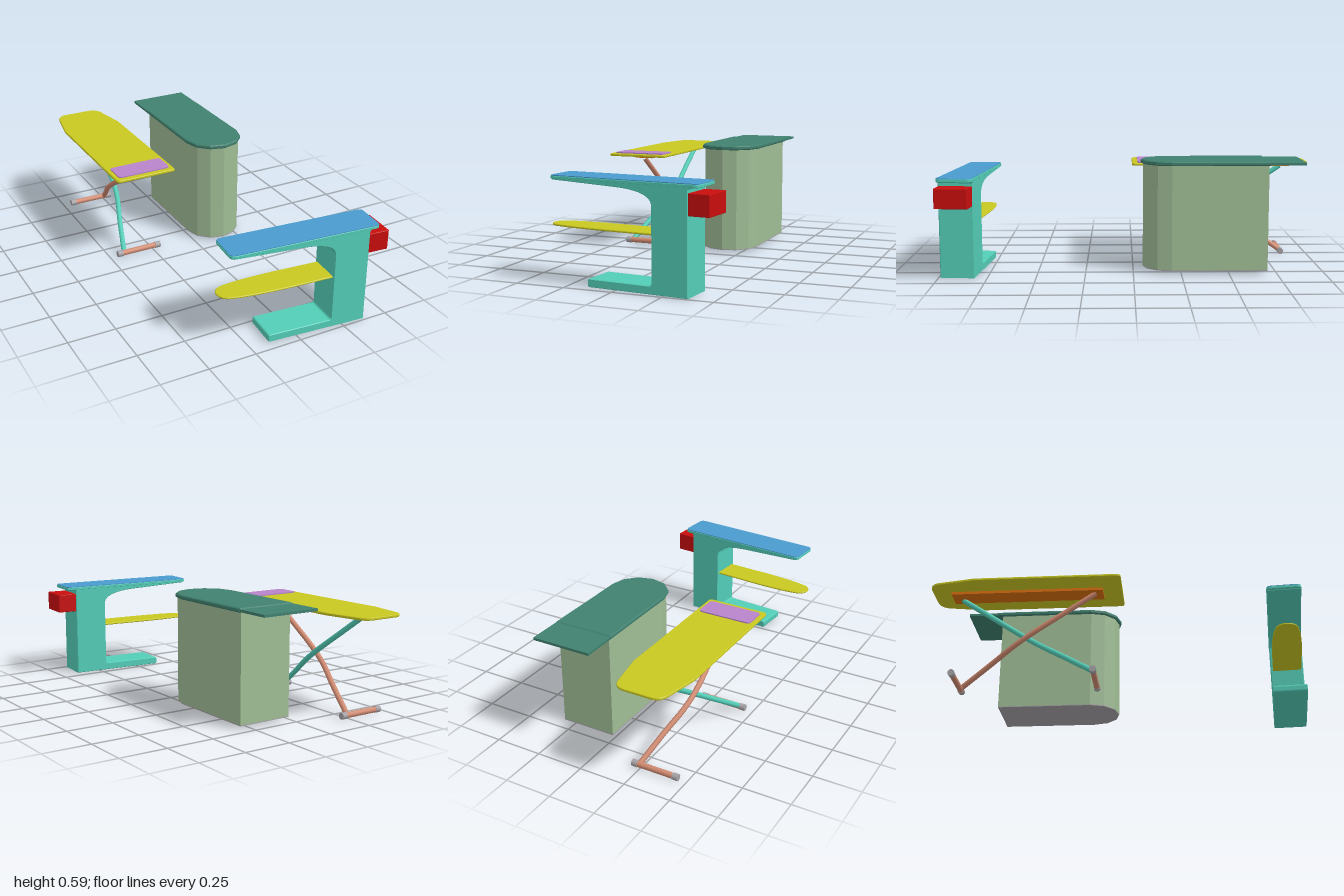
import * as THREE from 'three';

const mat = (name, color) => Object.assign(new THREE.MeshStandardMaterial({ color }), { name });
const teal = mat('teal', 0x53cdb7), blue = mat('blue', 0x4a9bcd), red = mat('red', 0xc90d0d);
const yellow = mat('yellow', 0xc9c821), purple = mat('lilac', 0xb884cb), copper = mat('copper', 0xd08a70);
const grey = mat('grey', 0xa6a2a6), sage = mat('sage', 0x9fbd95), green = mat('deepGreen', 0x41816f);
const orange = mat('orange', 0xd8700c);

function add(parent, name, geometry, material, x = 0, y = 0, z = 0) {
  const mesh = new THREE.Mesh(geometry, material);
  mesh.name = name;
  mesh.position.set(x, y, z);
  parent.add(mesh);
  return mesh;
}

function group(parent, name) {
  const g = new THREE.Group();
  g.name = name;
  parent.add(g);
  return g;
}

// Plan outline drawn as (x, -z), raised from y0 to y1 with an optional small bevel
function slab(shape, y0, y1, bevel = 0) {
  const geo = new THREE.ExtrudeGeometry(shape, {
    depth: y1 - y0 - 2 * bevel, bevelEnabled: bevel > 0, bevelSize: bevel,
    bevelThickness: bevel, bevelOffset: -bevel, bevelSegments: 1, curveSegments: 6,
  });
  return geo.rotateX(-Math.PI / 2).translate(0, y0 + bevel, 0);
}

function roundRect(x0, x1, z0, z1, r) {
  const s = new THREE.Shape(), a = -z1, b = -z0;
  s.moveTo(x0 + r, a).lineTo(x1 - r, a).quadraticCurveTo(x1, a, x1, a + r);
  s.lineTo(x1, b - r).quadraticCurveTo(x1, b, x1 - r, b);
  s.lineTo(x0 + r, b).quadraticCurveTo(x0, b, x0, b - r);
  s.lineTo(x0, a + r).quadraticCurveTo(x0, a, x0 + r, a);
  return s;
}

function buildIroningBoard(root) {
  const g = group(root, 'ironingBoard');
  const cx = -0.333, w = 0.167;

  // Tapered board top
  const s = new THREE.Shape();
  s.moveTo(cx - w + 0.02, 0).lineTo(cx + w - 0.02, 0).quadraticCurveTo(cx + w, 0, cx + w, 0.02);
  s.lineTo(cx + w, 0.76).lineTo(cx + 0.132, 0.95).quadraticCurveTo(cx + 0.12, 1, cx + 0.07, 1);
  s.lineTo(cx - 0.07, 1).quadraticCurveTo(cx - 0.12, 1, cx - 0.132, 0.95);
  s.lineTo(cx - w, 0.76).lineTo(cx - w, 0.02).quadraticCurveTo(cx - w, 0, cx - w + 0.02, 0);
  add(g, 'boardTop', slab(s, 0.516, 0.53, 0.003), yellow);
  add(g, 'ironRest', slab(roundRect(-0.477, -0.187, -0.16, -0.03, 0.02), 0.529, 0.536), purple);
  add(g, 'undersideRail', new THREE.BoxGeometry(0.105, 0.016, 0.8), orange, cx, 0.509, -0.5);

  // Crossed legs, bending sideways toward their feet
  const leg = (name, material, side, zFoot, zTop) => {
    const profile = [[0.016, 0.5], [0.016, 0.4], [0.016, 0.28], [0.002, 0.215], [-0.04, 0.13], [-0.087, 0.025]];
    const pts = profile.map(([dx, y]) => new THREE.Vector3(
      cx + side * dx, y, zFoot + (zTop - zFoot) * (y - 0.02) / 0.48));
    add(g, name, new THREE.TubeGeometry(new THREE.CatmullRomCurve3(pts), 28, 0.014, 10), material);

    const foot = group(g, name + 'Foot');
    const bar = (n, r, len, m, x) =>
      add(foot, n, new THREE.CylinderGeometry(r, r, len, 14).rotateZ(Math.PI / 2), m, x, 0.018, zFoot);
    bar('footBar', 0.015, 0.2, copper, cx);
    for (const k of [-1, 1]) bar('footCap', 0.0175, 0.03, grey, cx + k * 0.113);
  };
  leg('frontLeg', teal, 1, -0.14, -0.85);
  leg('rearLeg', copper, -1, -0.85, -0.14);
}

function buildCabinet(root) {
  const g = group(root, 'cabinet');
  const cx = 0.157, cz = -0.2;

  // Straight back, six-sided rounded front
  const outline = (r, back) => {
    const s = new THREE.Shape();
    s.moveTo(cx - r, -back);
    for (let i = 0; i <= 6; i++) {
      const a = Math.PI * (1 + i / 6);
      s.lineTo(cx + r * Math.cos(a), -cz + r * Math.sin(a));
    }
    s.lineTo(cx + r, -back);
    return s;
  };
  add(g, 'cabinetBody', slab(outline(0.148, -0.7), 0.02, 0.568), sage);
  add(g, 'cabinetFloor', slab(outline(0.148, -0.7), 0.015, 0.02), grey);
  add(g, 'cabinetLid', slab(outline(0.16, -0.705), 0.567, 0.589, 0.005), green);
  add(g, 'lidFlap', new THREE.BoxGeometry(0.318, 0.013, 0.187), green, cx, 0.5775, -0.7965);
}

function buildSleeveBoard(root) {
  const g = group(root, 'sleeveBoard');
  g.position.set(0.042, 0, 0.873);
  g.rotation.y = -0.084;

  // C-shaped stand: foot, column and curved arm
  const s = new THREE.Shape();
  s.moveTo(-0.175, 0).lineTo(0.34, 0).lineTo(0.34, 0.49).lineTo(0.35, 0.505);
  s.lineTo(-0.375, 0.505).lineTo(-0.375, 0.497).lineTo(-0.05, 0.482);
  s.quadraticCurveTo(0.155, 0.475, 0.155, 0.405);
  s.lineTo(0.155, 0.055).quadraticCurveTo(0.155, 0.04, 0.14, 0.04);
  s.lineTo(-0.175, 0.04).quadraticCurveTo(-0.186, 0.04, -0.186, 0.028);
  s.lineTo(-0.186, 0.012).quadraticCurveTo(-0.186, 0, -0.175, 0);
  const stand = new THREE.ExtrudeGeometry(s, {
    depth: 0.172, bevelThickness: 0.004, bevelSize: 0.003, bevelOffset: -0.003,
    bevelSegments: 1, curveSegments: 12,
  });
  add(g, 'stand', stand, teal, 0, 0, -0.086);

  // Top plate with its thin cover
  add(g, 'topPlate', slab(roundRect(-0.39, 0.394, -0.091, 0.091, 0.025), 0.5, 0.515, 0.002), teal);
  add(g, 'topCover', slab(roundRect(-0.388, 0.392, -0.089, 0.089, 0.024), 0.514, 0.519), blue);

  // Tapered middle shelf with a round tip
  const p = new THREE.Shape();
  p.moveTo(0.17, -0.078).lineTo(0.17, 0.078).lineTo(-0.1, 0.08);
  p.bezierCurveTo(-0.25, 0.078, -0.33, 0.07, -0.385, 0.055);
  p.bezierCurveTo(-0.435, 0.035, -0.435, -0.035, -0.385, -0.055);
  p.bezierCurveTo(-0.33, -0.07, -0.25, -0.078, -0.1, -0.08);
  add(g, 'middleShelf', slab(p, 0.271, 0.281, 0.003), yellow);

  // Box on the outer end
  add(g, 'endBox', slab(roundRect(0.338, 0.447, -0.086, 0.086, 0.006), 0.373, 0.475, 0.002), red);
}

export function createModel() {
  const root = new THREE.Group();
  root.name = 'ironingSet';
  buildIroningBoard(root);
  buildCabinet(root);
  buildSleeveBoard(root);
  return root;
}
